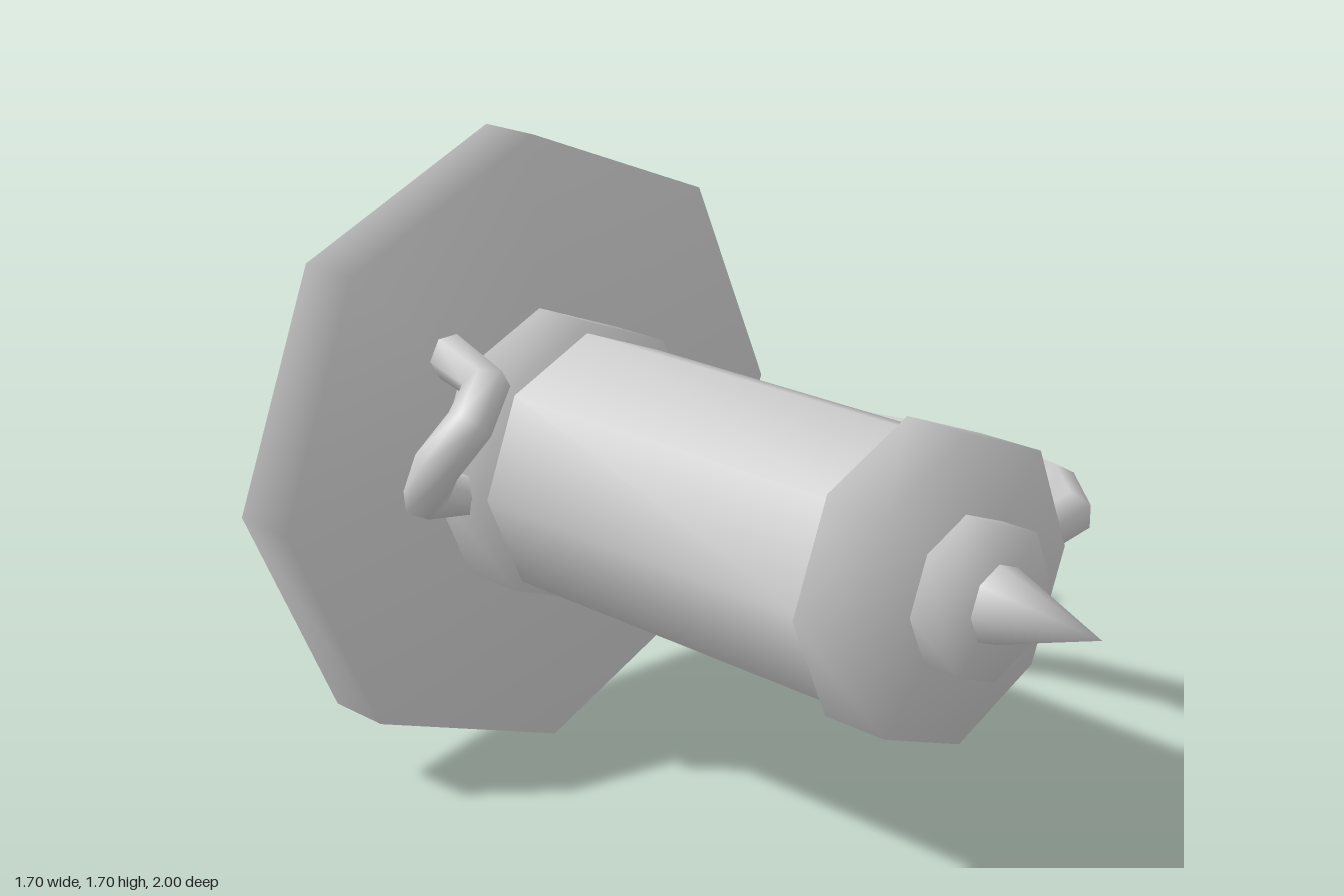
import * as THREE from 'three';
import { mergeVertices } from 'three/addons/utils/BufferGeometryUtils.js';

const material = new THREE.MeshStandardMaterial({ color: 0xcccccc, side: THREE.DoubleSide });
const AXIS_Y = 0.85;

// Share vertices so that normals run smoothly over every edge
function smooth(geometry) {
  geometry.deleteAttribute('uv');
  geometry.deleteAttribute('normal');
  const merged = mergeVertices(geometry, 1e-4);
  merged.computeVertexNormals();
  return merged;
}

function addMesh(group, name, geometry) {
  const mesh = new THREE.Mesh(geometry, material);
  mesh.name = name;
  group.add(mesh);
}

// Eight-sided drum lying along z
function drum(backZ, frontZ, backR, frontR, open = false) {
  const g = new THREE.CylinderGeometry(frontR, backR, frontZ - backZ, 8, 1, open);
  g.rotateX(Math.PI / 2);
  g.translate(0, AXIS_Y, (backZ + frontZ) / 2);
  return smooth(g);
}

// Path whose samples fall exactly on the given corner points
class CornerPath extends THREE.Curve {
  constructor(points) {
    super();
    this.points = points.map(p => new THREE.Vector3(...p));
  }
  getPointAt(t, target = new THREE.Vector3()) {
    return target.copy(this.points[Math.round(t * (this.points.length - 1))]);
  }
  getTangentAt(t, target = new THREE.Vector3()) {
    const p = this.points, i = Math.round(t * (p.length - 1));
    target.set(0, 0, 0);
    if (i > 0) target.add(p[i].clone().sub(p[i - 1]).normalize());
    if (i < p.length - 1) target.add(p[i + 1].clone().sub(p[i]).normalize());
    return target.normalize();
  }
}

function pipe(points) {
  return smooth(new THREE.TubeGeometry(new CornerPath(points), points.length - 1, 0.06, 6, false));
}

export function createModel() {
  const group = new THREE.Group();
  group.name = 'mountedCylinder';

  // Wall plate, barrel and collars
  addMesh(group, 'basePlate', drum(-1, -0.82, 0.85, 0.85));
  addMesh(group, 'rearCollar', drum(-0.82, -0.64, 0.39, 0.39));
  addMesh(group, 'barrel', drum(-0.64, 0.43, 0.36, 0.36, true));
  addMesh(group, 'frontCollar', drum(0.43, 0.61, 0.39, 0.39));

  // Nose and pointed tip
  addMesh(group, 'nose', drum(0.61, 0.71, 0.195, 0.195));
  addMesh(group, 'spike', drum(0.71, 1, 0.1, 0, true));

  // Long pipe from the front collar back to the plate
  addMesh(group, 'longPipe', pipe([
    [0.36, 0.85, 0.515], [0.565, 0.85, 0.495], [0.70, 0.85, 0.35], [0.75, 0.85, 0.05],
    [0.67, 0.85, -0.31], [0.535, 0.85, -0.62], [0.535, 0.85, -0.84],
  ]));

  // Short pipe looping from the rear collar up to the plate
  addMesh(group, 'shortPipe', pipe([
    [-0.36, 0.85, -0.73], [-0.51, 0.885, -0.70], [-0.51, 0.98, -0.65],
    [-0.43, 1.08, -0.61], [-0.345, 1.155, -0.64], [-0.31, 1.185, -0.84],
  ]));

  return group;
}
